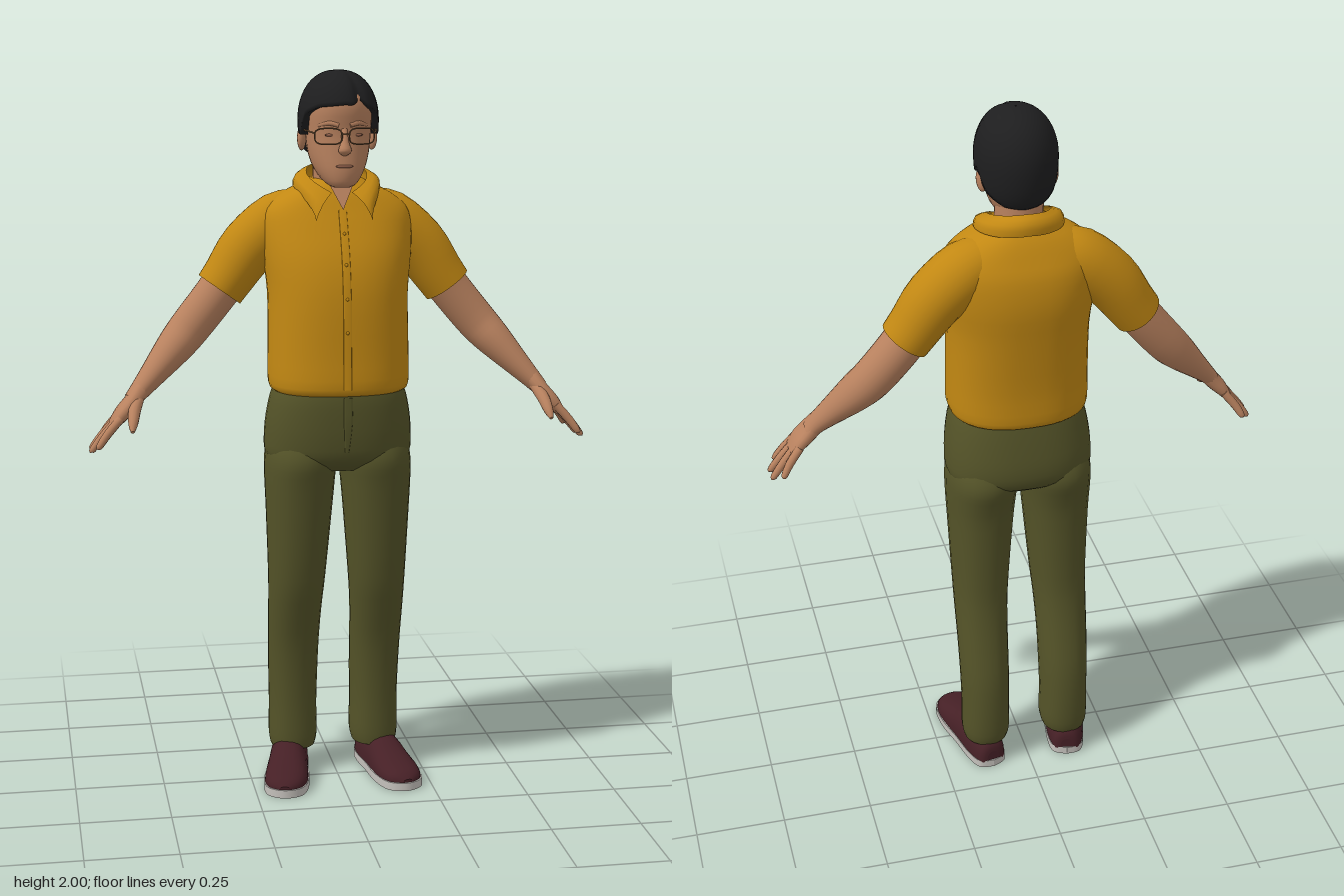
import * as THREE from 'three';

const mat = (name, color, side = THREE.FrontSide) => {
  const m = new THREE.MeshStandardMaterial({ color, side });
  m.name = name;
  return m;
};

// Smooth interpolation of rows of numbers
function smoothRows(rows, steps) {
  const out = [];
  for (let i = 0; i < rows.length - 1; i++) {
    const p = [rows[Math.max(i - 1, 0)], rows[i], rows[i + 1], rows[Math.min(i + 2, rows.length - 1)]];
    for (let k = 0; k < steps; k++) {
      const t = k / steps;
      out.push(p[1].map((v, j) => v + 0.5 * t * (p[2][j] - p[0][j]
        + t * (2 * p[0][j] - 5 * v + 4 * p[2][j] - p[3][j]
        + t * (3 * (v - p[2][j]) + p[3][j] - p[0][j])))));
    }
  }
  out.push(rows[rows.length - 1]);
  return out;
}

// Grid of points (rows x cols) to an indexed smooth surface
function gridGeometry(rings, wrap, caps) {
  const pos = [], idx = [], cols = rings[0].length;
  rings.forEach(r => r.forEach(p => pos.push(p.x, p.y, p.z)));
  for (let i = 0; i < rings.length - 1; i++) {
    for (let j = 0; j < (wrap ? cols : cols - 1); j++) {
      const a = i * cols + j, b = i * cols + (j + 1) % cols;
      idx.push(a, b, b + cols, a, b + cols, a + cols);
    }
  }
  if (caps) [0, rings.length - 1].forEach((ri, end) => {
    const ring = rings[ri], start = pos.length / 3;
    const c = ring.reduce((s, p) => s.add(p), new THREE.Vector3()).divideScalar(cols);
    [...ring, c].forEach(p => pos.push(p.x, p.y, p.z));
    for (let j = 0; j < cols; j++) {
      const a = start + j, b = start + (j + 1) % cols;
      idx.push(...(end ? [a, b, start + cols] : [b, a, start + cols]));
    }
  });
  const g = new THREE.BufferGeometry();
  g.setAttribute('position', new THREE.Float32BufferAttribute(pos, 3));
  g.setIndex(idx);
  g.computeVertexNormals();
  return g;
}

// Loft through sections [x, y, z, halfWidth, halfDepth]; axis must point along the rows
function loft(rows, { n = 2, seg = 24, steps = 3, axis = null, ref = new THREE.Vector3(0, 0, 1) } = {}) {
  const s = smoothRows(rows, steps);
  const at = i => new THREE.Vector3(...s[Math.min(Math.max(i, 0), s.length - 1)].slice(0, 3));
  const rings = s.map((row, i) => {
    const t = axis ? axis.clone() : at(i + 1).sub(at(i - 1)).normalize();
    const v = ref.clone().addScaledVector(t, -t.dot(ref)).normalize();
    const u = v.clone().cross(t);
    return Array.from({ length: seg }, (_, j) => {
      const a = j / seg * Math.PI * 2, f = q => Math.sign(q) * Math.abs(q) ** (2 / n);
      return at(i).addScaledVector(u, f(Math.cos(a)) * row[3]).addScaledVector(v, f(Math.sin(a)) * row[4]);
    });
  });
  return gridGeometry(rings, true, true);
}

export function createModel() {
  const model = new THREE.Group();
  const skin = mat('skin', 0xb9825f), shirt = mat('shirt', 0xc28813, THREE.DoubleSide);
  const trouser = mat('trousers', 0x545328), hairM = mat('hair', 0x1e1e1f, THREE.DoubleSide);
  const shoeM = mat('shoe', 0x462026), soleM = mat('sole', 0xc4c0bb);
  const frameM = mat('glasses frame', 0x6e5236), featureM = mat('lips and eyes', 0x8f5f4a);
  const UP = new THREE.Vector3(0, 1, 0), DOWN = new THREE.Vector3(0, -1, 0);
  const add = (name, g, m, parent = model) => {
    const o = new THREE.Mesh(g, m);
    o.name = name;
    parent.add(o);
    return o;
  };
  // Upright section from its back and front limits
  const sec = (x, y, a, back, front) => [x, y, (back + front) / 2, a, (front - back) / 2];

  // Shirt body
  const torso = [
    sec(0, 1.135, 0.18, -0.145, 0.155), sec(0, 1.155, 0.193, -0.155, 0.17), sec(0, 1.25, 0.193, -0.155, 0.166),
    sec(0, 1.4, 0.192, -0.168, 0.16), sec(0, 1.5, 0.203, -0.178, 0.14), sec(0, 1.58, 0.208, -0.17, 0.106),
    sec(0, 1.63, 0.195, -0.15, 0.082), sec(0, 1.67, 0.147, -0.13, 0.063), sec(0, 1.695, 0.095, -0.112, 0.046),
    sec(0, 1.71, 0.07, -0.1, 0.03)];
  add('shirtBody', loft(torso, { n: 2.4, seg: 40, axis: UP }), shirt);
  add('shirtPlacket', loft(torso.slice(1, 7).map(([x, y, z, a, b]) => [0, y, z + b, 0.011, 0.003]),
    { n: 4, seg: 12 }), shirt);
  for (const [y, z] of [[1.31, 0.166], [1.4, 0.161], [1.49, 0.144], [1.57, 0.112]])
    add('button', new THREE.SphereGeometry(0.005, 8, 6), shirt).position.set(0, y, z);

  // Collar: folded band with two front points
  const collar = [0, 0.25, 0.5, 0.75, 1].map(k => Array.from({ length: 33 }, (_, j) => {
    const t = j / 16 - 1, f = Math.abs(t), a = t * 2.8;
    const inner = new THREE.Vector3(Math.sin(a) * 0.082, 1.752 - 0.075 * f ** 1.6, -0.018 - Math.cos(a) * 0.094);
    const outer = new THREE.Vector3(Math.sin(a) * 0.12, 1.702 - 0.025 * f, -0.02 - Math.cos(a) * 0.118);
    const tip = new THREE.Vector3(Math.sign(t) * 0.078, 1.603, 0.114);
    outer.lerp(tip, THREE.MathUtils.smoothstep(f, 0.55, 1));
    const p = inner.lerp(outer, k), bulge = 0.012 * Math.sin(k * Math.PI);
    p.x += Math.sin(a) * bulge;
    p.y += bulge * 0.6;
    p.z -= Math.cos(a) * bulge;
    return p;
  }));
  add('collar', gridGeometry(collar, false, false), shirt);
  const vee = new THREE.BufferGeometry();
  vee.setAttribute('position', new THREE.Float32BufferAttribute(
    [0, 1.632, 0.094, 0.036, 1.705, 0.06, -0.036, 1.705, 0.06], 3));
  vee.computeVertexNormals();
  add('openNeckline', vee, skin);

  // Trousers
  add('hips', loft([
    sec(0, 1.16, 0.17, -0.13, 0.145), sec(0, 1.12, 0.187, -0.14, 0.153), sec(0, 1.06, 0.199, -0.152, 0.153),
    sec(0, 1.0, 0.204, -0.16, 0.148), sec(0, 0.95, 0.2, -0.152, 0.135), sec(0, 0.915, 0.165, -0.11, 0.09)],
  { n: 2.4, seg: 40, axis: DOWN }), trouser);
  add('fly', loft([[0.004, 1.13, 0.151, 0.012, 0.004], [0.004, 1.06, 0.152, 0.012, 0.004],
    [0.002, 0.98, 0.143, 0.006, 0.004]], { n: 4, seg: 10 }), trouser);

  for (const s of [1, -1]) {
    const side = s > 0 ? 'left' : 'right';
    const mirror = rows => rows.map(([x, ...r]) => [x * s, ...r]);
    const limb = (name, rows, m, opt) => add(side + name, loft(mirror(rows), opt), m);

    // Leg
    limb('TrouserLeg', [
      sec(0.095, 1.05, 0.06, -0.1, 0.09), sec(0.101, 0.99, 0.09, -0.138, 0.122), sec(0.104, 0.94, 0.099, -0.152, 0.135),
      sec(0.107, 0.88, 0.097, -0.138, 0.124), sec(0.109, 0.8, 0.092, -0.125, 0.11), sec(0.114, 0.6, 0.08, -0.118, 0.077),
      sec(0.117, 0.5, 0.075, -0.125, 0.048), sec(0.118, 0.4, 0.072, -0.143, 0.018), sec(0.118, 0.3, 0.07, -0.162, 0.002),
      sec(0.118, 0.2, 0.068, -0.168, -0.006), sec(0.118, 0.11, 0.069, -0.166, -0.008),
      sec(0.119, 0.075, 0.063, -0.158, -0.012)], trouser, { n: 2.2, axis: DOWN });

    // Shoe
    const shoe = new THREE.Group();
    shoe.name = side + 'Shoe';
    shoe.position.set(0.144 * s, 0, -0.002);
    shoe.rotation.y = 0.19 * s;
    model.add(shoe);
    const upper = loft([
      [0, 0.022, -0.165, 0.02, 0.03], [0, 0.022, -0.155, 0.04, 0.06], [0, 0.022, -0.1, 0.053, 0.08],
      [0, 0.022, -0.02, 0.056, 0.08], [0, 0.022, 0.04, 0.06, 0.058], [0, 0.022, 0.1, 0.06, 0.04],
      [0, 0.022, 0.145, 0.045, 0.027], [0, 0.022, 0.166, 0.015, 0.01]], { n: 2.3, ref: UP });
    const up = upper.attributes.position;
    for (let i = 0; i < up.count; i++) up.setY(i, Math.max(up.getY(i), 0.018));
    upper.computeVertexNormals();
    add('shoeUpper', upper, shoeM, shoe);
    const outline = new THREE.Shape();
    outline.moveTo(0, -0.17);
    outline.splineThru([[0.04, -0.155], [0.054, -0.1], [0.058, -0.02], [0.064, 0.07], [0.05, 0.145], [0, 0.172],
      [-0.05, 0.145], [-0.064, 0.07], [-0.058, -0.02], [-0.054, -0.1], [-0.04, -0.155], [0, -0.17]]
      .map(p => new THREE.Vector2(...p)));
    const sole = new THREE.ExtrudeGeometry(outline, { depth: 0.023, bevelEnabled: false, curveSegments: 36 });
    add('shoeSole', sole.rotateX(Math.PI / 2).translate(0, 0.023, 0), soleM, shoe);

    // Sleeve, arm and hand
    limb('Sleeve', [[0.08, 1.62, -0.06, 0.06, 0.06], [0.15, 1.592, -0.064, 0.08, 0.08], [0.235, 1.52, -0.065, 0.08, 0.081],
      [0.29, 1.445, -0.062, 0.072, 0.076], [0.319, 1.405, -0.06, 0.069, 0.073]], shirt);
    limb('Arm', [[0.29, 1.445, -0.062, 0.06, 0.062], [0.335, 1.385, -0.062, 0.058, 0.06], [0.405, 1.3, -0.053, 0.056, 0.057],
      [0.45, 1.25, -0.032, 0.05, 0.056], [0.51, 1.185, 0.0, 0.036, 0.043], [0.55, 1.142, 0.02, 0.027, 0.035],
      [0.57, 1.12, 0.028, 0.023, 0.036]], skin);
    limb('Palm', [[0.545, 1.15, 0.02, 0.023, 0.032], [0.572, 1.115, 0.032, 0.022, 0.042], [0.6, 1.085, 0.037, 0.02, 0.046],
      [0.622, 1.057, 0.037, 0.014, 0.043]], skin, { n: 2.4, seg: 18 });
    [[0.0, 0.657, 1.005, -0.022], [0.025, 0.682, 0.985, 0.013], [0.05, 0.684, 0.985, 0.054], [0.073, 0.667, 1.0, 0.088]]
      .forEach(([z, tx, ty, tz], i) => limb('Finger' + (i + 1), [
        [0.605, 1.078, z, 0.012, 0.013], [(0.615 + tx) / 2, (1.075 + ty) / 2, (z + tz) / 2, 0.0115, 0.0125],
        [tx - 0.003, ty + 0.006, tz, 0.009, 0.01], [tx, ty, tz, 0.004, 0.004]], skin, { seg: 10 }));
    limb('Thumb', [[0.552, 1.13, 0.038, 0.016, 0.018], [0.567, 1.1, 0.078, 0.017, 0.018],
      [0.574, 1.07, 0.113, 0.013, 0.014], [0.577, 1.052, 0.133, 0.005, 0.005]], skin, { seg: 12 });

    // Ear, eye, brow ridge and half of the glasses
    const ear = add(side + 'Ear', new THREE.SphereGeometry(1, 14, 10), skin);
    ear.scale.set(0.012, 0.034, 0.022);
    ear.position.set(0.096 * s, 1.818, -0.015);
    ear.rotation.y = 0.35 * s;
    const eye = add(side + 'Eye', new THREE.SphereGeometry(1, 14, 8), featureM);
    eye.scale.set(0.013, 0.004, 0.005);
    eye.position.set(0.038 * s, 1.832, 0.102);
    limb('Brow', [[0.015, 1.858, 0.112, 0.006, 0.006], [0.04, 1.864, 0.104, 0.007, 0.006],
      [0.064, 1.856, 0.08, 0.005, 0.005]], skin, { seg: 8 });
    const lens = Array.from({ length: 20 }, (_, i) => {
      const a = i / 10 * Math.PI, f = q => Math.sign(q) * Math.abs(q) ** 0.6;
      return new THREE.Vector3((0.045 + 0.035 * f(Math.cos(a))) * s, 1.83 + 0.021 * f(Math.sin(a)),
        0.122 - 0.01 * Math.cos(a));
    });
    add(side + 'LensRim', new THREE.TubeGeometry(new THREE.CatmullRomCurve3(lens, true), 40, 0.002, 6, true), frameM);
    limb('Temple', [[0.08, 1.838, 0.112, 0.0025, 0.0025], [0.093, 1.842, 0.07, 0.0025, 0.0025],
      [0.1, 1.842, -0.01, 0.0025, 0.0025]], frameM, { seg: 8, ref: UP });
  }
  add('glassesBridge', new THREE.BoxGeometry(0.024, 0.004, 0.004), frameM).position.set(0, 1.836, 0.13);

  // Head, neck, nose and mouth
  add('neck', loft([[0, 1.62, -0.035, 0.068, 0.068], [0, 1.7, -0.025, 0.064, 0.068], [0, 1.79, -0.02, 0.066, 0.07]],
    { axis: UP }), skin);
  add('head', loft([
    sec(0, 1.692, 0.022, 0.05, 0.095), sec(0, 1.702, 0.042, 0.0, 0.112), sec(0, 1.735, 0.066, -0.07, 0.118),
    sec(0, 1.78, 0.081, -0.1, 0.115), sec(0, 1.84, 0.088, -0.108, 0.112), sec(0, 1.9, 0.09, -0.108, 0.12),
    sec(0, 1.945, 0.08, -0.1, 0.105), sec(0, 1.975, 0.045, -0.06, 0.06)], { n: 2.2, seg: 28, axis: UP }), skin);
  add('nose', loft([[0, 1.85, 0.108, 0.008, 0.008], [0, 1.815, 0.118, 0.011, 0.012], [0, 1.793, 0.121, 0.018, 0.018],
    [0, 1.783, 0.118, 0.012, 0.012], [0, 1.778, 0.114, 0.004, 0.004]], { seg: 14, axis: DOWN }), skin);
  const mouth = add('mouth', new THREE.SphereGeometry(1, 14, 8), featureM);
  mouth.scale.set(0.024, 0.005, 0.007);
  mouth.position.set(0, 1.75, 0.114);

  // Hair: dome cut along a hairline, with a side parting
  const line = [[0, 1.912], [40, 1.905], [65, 1.885], [78, 1.83], [88, 1.83], [98, 1.845], [115, 1.79], [145, 1.762], [181, 1.755]];
  const hairline = deg => {
    const d = Math.abs(deg), i = line.findIndex(p => p[0] > d);
    const [a, b] = [line[i - 1], line[i]];
    return a[1] + (b[1] - a[1]) * (d - a[0]) / (b[0] - a[0]);
  };
  const rings = [];
  for (let i = 0; i <= 15; i++) {
    rings.push(Array.from({ length: 60 }, (_, j) => {
      const deg = 174 - j * 6, phi = deg * Math.PI / 180;
      const part = Math.exp(-(((deg - 26) / 9) ** 2)), k = Math.min(i / 14, 1);
      const max = Math.acos((hairline(deg) + 0.022 * part - 1.87) / 0.13);
      const th = Math.max(k * max, 0.01);
      let r = Math.sin(th) ** (th < Math.PI / 2 ? 0.85 : 0.35);
      r *= (1 - 0.09 * part * k) * (i === 15 ? 0.78 : 1);
      const x = Math.sin(phi) * 0.109 * r;
      return new THREE.Vector3(x, 1.87 + 0.13 * Math.cos(th) - 0.006 * part * k, 0.008 + Math.cos(phi) * 0.13 * r);
    }));
  }
  add('hair', gridGeometry(rings.reverse(), true, false), hairM);
  return model;
}
